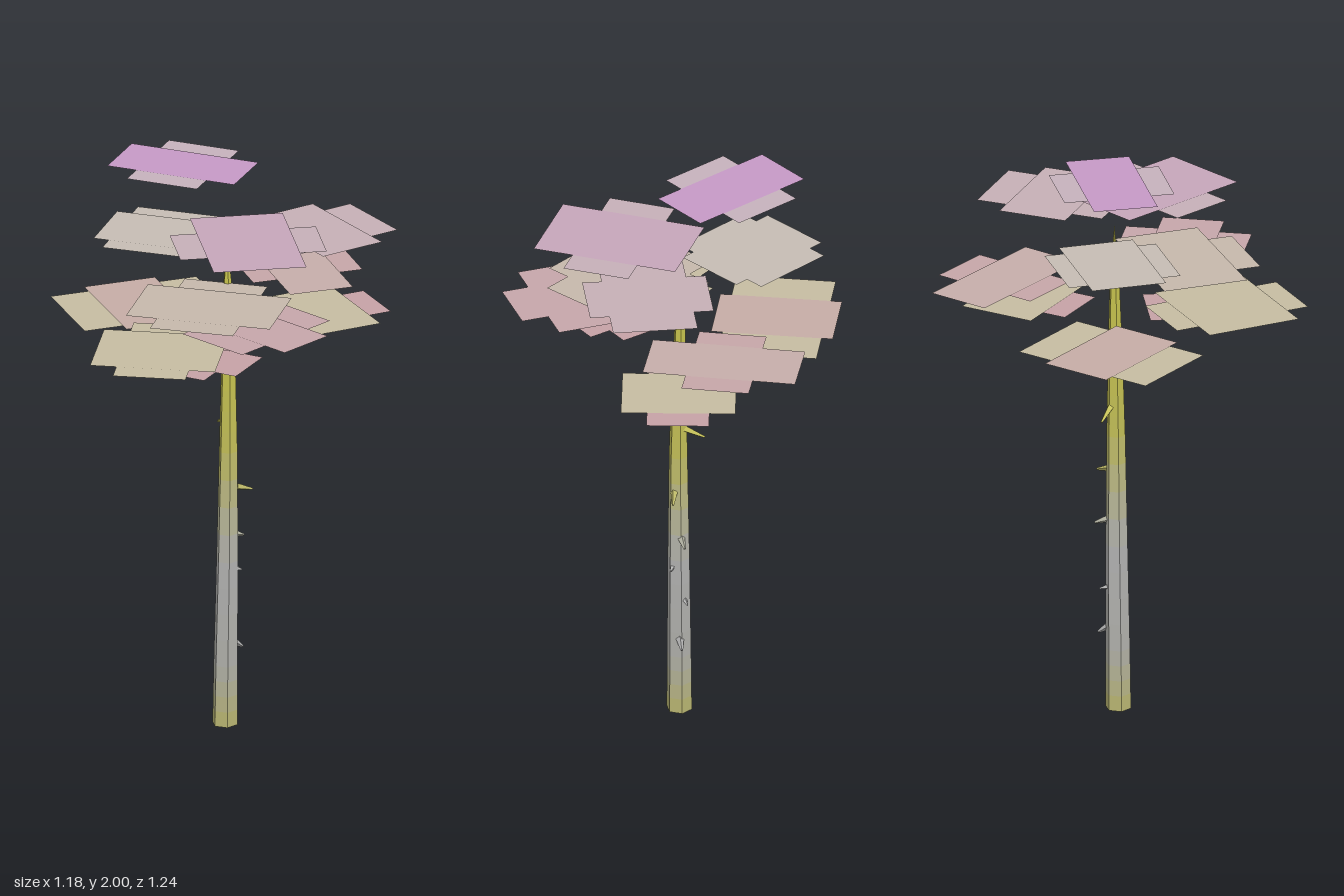
import * as THREE from 'three';

const material = (color) =>
  new THREE.MeshStandardMaterial({ color, flatShading: true, side: THREE.DoubleSide });

// Trunk rings: height, centre x, centre z, radius, colour
const RINGS = [
  [0, 0.02, -0.013, 0.045, 0xbcb868],
  [0.22, 0.021, -0.015, 0.043, 0xb2b2ac],
  [0.6, 0.024, -0.02, 0.039, 0xb4b4b4],
  [1.0, 0.026, -0.023, 0.033, 0xc4c05a],
  [1.3, 0.024, -0.025, 0.026, 0xc8c44e],
  [1.6, 0.019, -0.026, 0.016, 0xc8c44e],
  [1.772, 0.016, -0.026, 0, 0xc8c44e],
];

// Leaf clusters: x, y, z, turn in degrees, long card [w, d], cross card [w, d], their colours
const CLUSTERS = [
  [-0.168, 2.0, 0.015, -27.5, [0.466, 0.222], [0.257, 0.383], 0xc699c6, 0xc6b2bd],
  [-0.247, 1.735, 0.04, -31.6, [0.408, 0.262], [0.302, 0.395], 0xc6bdb4, 0xc6bdb4],
  [0.216, 1.837, 0.05, 31.2, [0.507, 0.32], [0.232, 0.505], 0xc6a6ba, 0xc6b0b8],
  [0.192, 1.79, -0.283, 6.5, [0.424, 0.242], [0.29, 0.459], 0xc6b0b6, 0xc6b0b6],
  [-0.048, 1.565, -0.395, 22, [0.526, 0.225], [0.232, 0.392], 0xc6aeaa, 0xc6a6a8],
  [0.103, 1.445, -0.367, 14.2, [0.39, 0.27], [0.213, 0.435], 0xc6bda2, 0xc6a2a6],
  [0.345, 1.587, 0.124, -6, [0.47, 0.213], [0.28, 0.435], 0xc6a6aa, 0xc6a6aa],
  [0.163, 1.45, 0.233, -22, [0.4, 0.2], [0.24, 0.36], 0xc6a2a6, 0xc6a2a6],
  [0.152, 1.614, 0.172, -35, [0.506, 0.298], [0.292, 0.472], 0xc6b8ab, 0xc6b8ab],
  [0.1, 1.483, 0.348, -41.3, [0.43, 0.336], [0.25, 0.496], 0xc6bda2, 0xc6bda2],
  [-0.337, 1.45, 0.06, 20.2, [0.418, 0.256], [0.341, 0.53], 0xc6ada6, 0xc6bda2],
];

// Dead twigs: base point, tip point, base radius, colour
const TWIGS = [
  [[0.01, 1.11, -0.035], [-0.06, 1.075, -0.05], 0.014, 0xc4c05a],
  [[0.045, 0.868, -0.045], [0.062, 0.85, -0.1], 0.013, 0xbcb868],
  [[0.022, 0.69, -0.045], [0.02, 0.67, -0.096], 0.014, 0xb4b4a4],
  [[0.045, 0.575, -0.035], [0.06, 0.565, -0.055], 0.011, 0xb4b4b4],
  [[0.01, 0.443, -0.045], [0.006, 0.435, -0.075], 0.01, 0xb4b4b4],
  [[0.026, 0.295, -0.045], [0.028, 0.266, -0.086], 0.015, 0xb4b4b4],
];

const UP = new THREE.Vector3(0, 1, 0);

// One leaning six-sided piece of trunk
function trunkBand(a, b, color) {
  const h = b[0] - a[0];
  const g = new THREE.CylinderGeometry(b[3], a[3], h, 6, 1, true);
  const p = g.attributes.position;
  for (let i = 0; i < p.count; i++) {
    const end = p.getY(i) > 0 ? b : a;
    p.setXYZ(i, p.getX(i) + end[1], end[0], p.getZ(i) + end[2]);
  }
  g.computeVertexNormals();
  return new THREE.Mesh(g, material(color));
}

function createTrunk() {
  const trunk = new THREE.Group();
  trunk.name = 'trunk';
  const steps = 4; // colour steps between rings
  for (let i = 0; i < RINGS.length - 1; i++) {
    const [lo, hi] = [RINGS[i], RINGS[i + 1]];
    const [c0, c1] = [new THREE.Color(lo[4]), new THREE.Color(hi[4])];
    const n = lo[4] === hi[4] ? 1 : steps;
    const at = (t) => lo.slice(0, 4).map((v, k) => v + (hi[k] - v) * t);
    for (let s = 0; s < n; s++) {
      const band = trunkBand(at(s / n), at((s + 1) / n), c0.clone().lerp(c1, (s + 0.5) / n));
      band.name = 'trunkBand';
      trunk.add(band);
    }
  }
  return trunk;
}

// Tapered stub pointing from base to tip
function createTwig([from, to, radius, color]) {
  const a = new THREE.Vector3(...from);
  const dir = new THREE.Vector3(...to).sub(a);
  const g = new THREE.CylinderGeometry(radius * 0.3, radius, dir.length(), 4);
  g.translate(0, dir.length() / 2, 0);
  const twig = new THREE.Mesh(g, material(color));
  twig.quaternion.setFromUnitVectors(UP, dir.normalize());
  twig.position.copy(a);
  twig.name = 'twig';
  return twig;
}

// Two flat crossed cards
function createCluster([x, y, z, turn, long, cross, longColor, crossColor]) {
  const cluster = new THREE.Group();
  cluster.name = 'leafCluster';
  [[long, longColor, 0.001], [cross, crossColor, -0.001]].forEach(([size, color, lift]) => {
    const g = new THREE.PlaneGeometry(...size).rotateX(-Math.PI / 2);
    const card = new THREE.Mesh(g, material(color));
    card.position.y = lift;
    card.name = 'leafCard';
    cluster.add(card);
  });
  cluster.rotation.y = -THREE.MathUtils.degToRad(turn);
  cluster.position.set(x, y, z);
  return cluster;
}

export function createModel() {
  const tree = new THREE.Group();
  tree.name = 'tree';
  tree.add(createTrunk());
  TWIGS.forEach((t) => tree.add(createTwig(t)));
  CLUSTERS.forEach((c) => tree.add(createCluster(c)));
  return tree;
}
